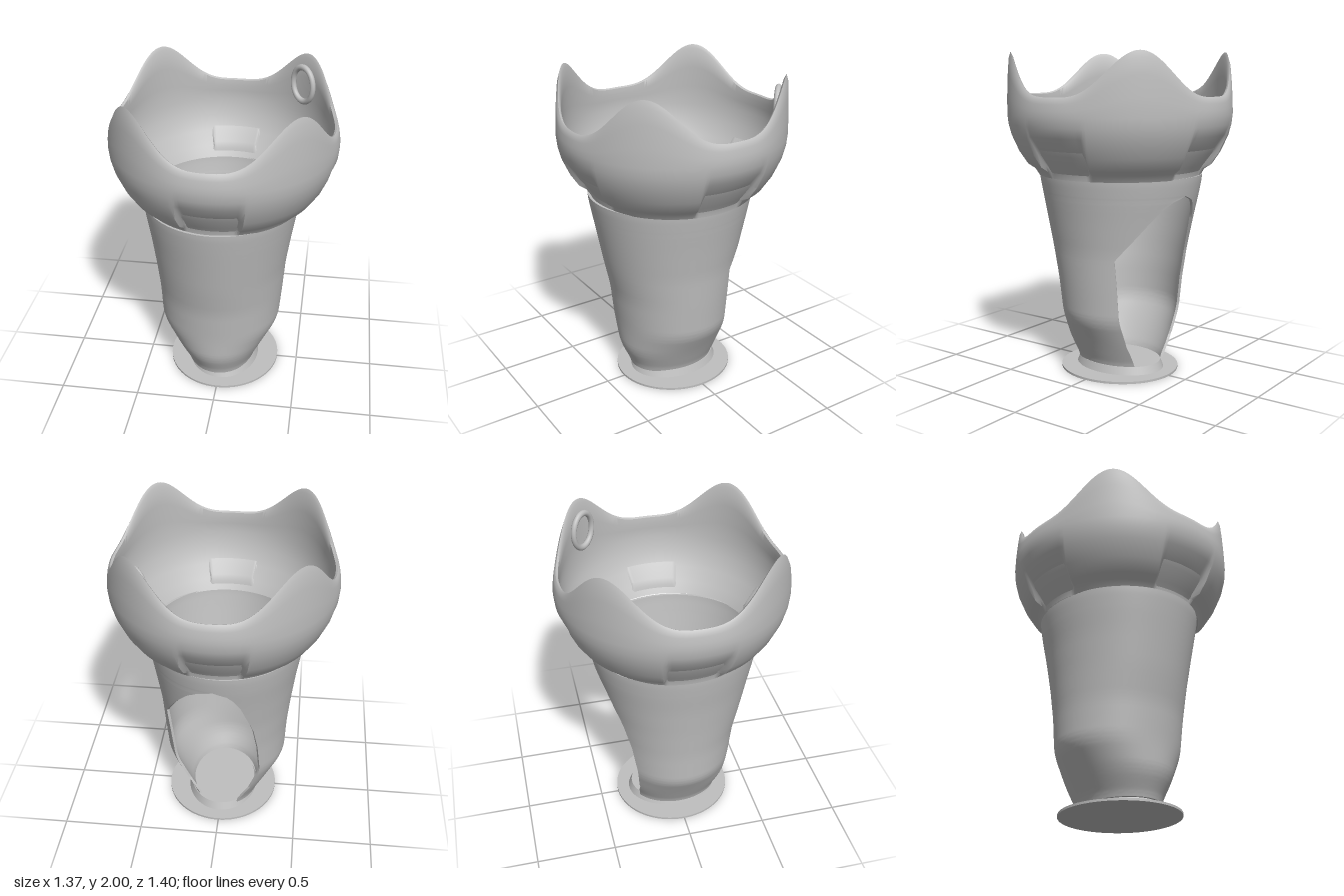
import * as THREE from 'three';
import { mergeVertices, toCreasedNormals, mergeGeometries } from 'three/addons/utils/BufferGeometryUtils.js';

const { lerp, smoothstep, degToRad } = THREE.MathUtils;

// Regular grid surface from a point function f(u, v) -> [x, y, z]
function sheet(f, nu, nv) {
  const pos = [], idx = [];
  for (let j = 0; j <= nv; j++)
    for (let i = 0; i <= nu; i++) pos.push(...f(i / nu, j / nv));
  for (let j = 0; j < nv; j++)
    for (let i = 0; i < nu; i++) {
      const a = j * (nu + 1) + i, b = a + nu + 1;
      idx.push(a, b, a + 1, a + 1, b, b + 1);
    }
  const g = new THREE.BufferGeometry();
  g.setAttribute('position', new THREE.Float32BufferAttribute(pos, 3));
  g.setIndex(idx);
  return g;
}

const finish = (g, crease) => toCreasedNormals(mergeVertices(g, 1e-4), crease);

// Piecewise linear lookup in rows [y, a, b, ...]
function lookup(rows, y) {
  let k = 0;
  while (k < rows.length - 2 && y > rows[k + 1][0]) k++;
  const p = rows[k], q = rows[k + 1];
  const t = THREE.MathUtils.clamp((y - p[0]) / (q[0] - p[0]), 0, 1);
  return p.map((v, i) => lerp(v, q[i], t));
}

// Rounds the corners of a table by averaging nearby heights
function softLookup(rows, y) {
  const out = rows[0].map(() => 0);
  for (let k = -3; k <= 3; k++) lookup(rows, y + k * 0.015).forEach((v, i) => { out[i] += v / 7; });
  return out;
}

// Body sections: y, right extent, left extent, front extent, back extent
const SECTIONS = [
  [0.05, 0.205, 0.23, 0.285, 0.28],
  [0.20, 0.275, 0.31, 0.355, 0.34],
  [0.37, 0.365, 0.405, 0.368, 0.365],
  [0.60, 0.385, 0.415, 0.395, 0.39],
  [0.80, 0.400, 0.435, 0.440, 0.42],
  [1.00, 0.430, 0.460, 0.480, 0.465],
  [1.15, 0.455, 0.485, 0.510, 0.50],
  [1.26, 0.472, 0.500, 0.530, 0.52],
];

// Edges of the back opening: y, start and end angle of the wall in degrees
const OPENING = [
  [0.05, -49, 243], [0.20, -38, 232], [0.40, -34.6, 231.6], [0.60, -32.6, 235],
  [0.77, -30, 241], [0.90, -45, 248], [1.00, -56, 253], [1.08, -66, 259],
  [1.12, -74, 264], [1.15, -86, 274], [1.27, -86, 274],
];

function wallPoint(u, v, inset) {
  const y = lerp(0.05, 1.26, v);
  const [, right, left, front, back] = softLookup(SECTIONS, y);
  const [, a0, a1] = lookup(OPENING, y);
  const a = degToRad(lerp(a0, a1, u)), c = Math.cos(a), s = Math.sin(a);
  const x0 = (right - left) / 2, rx = (right + left) / 2;
  return [x0 + c * (rx - inset), y, s * ((s > 0 ? front : back) - inset)];
}

function bodyGeometry() {
  const T = 0.016, nu = 80, nv = 121;
  const outer = (u, v) => wallPoint(u, v, 0), inner = (u, v) => wallPoint(u, v, T);
  const between = (u, v, t) => outer(u, v).map((p, i) => lerp(p, inner(u, v)[i], t));
  const last = 110 / 121; // the side edges end where the opening closes
  return finish(mergeGeometries([
    sheet(outer, nu, nv),
    sheet((u, v) => inner(1 - u, v), nu, nv),
    sheet((u, t) => between(u, 1, t), nu, 1),
    sheet((u, t) => between(u, 0, 1 - t), nu, 1),
    sheet((t, v) => between(0, v * last, 1 - t), 1, 110),
    sheet((t, v) => between(1, v * last, t), 1, 110),
  ]), 0.6);
}

// Rim of the collar: four peaks on the diagonals
const rimHeight = (a) => 1.74 + 0.26 * Math.pow((1 - Math.cos(4 * a)) / 2, 1.8);

// Closed wall profile of the collar at one angle, as [radius, y]
function collarProfile(a) {
  const quarter = Math.PI / 2;
  const off = Math.abs(a - Math.round(a / quarter) * quarter);
  const pad = 1 - smoothstep(off, 0.27, 0.31); // recess under each side
  const h = rimHeight(a), mix = (p, q) => [lerp(p[0], q[0], pad), lerp(p[1], q[1], pad)];
  const up = (r, t) => [r, lerp(1.63, h, t)];
  return [
    [0.505, 1.255],
    mix([0.53, 1.295], [0.515, 1.31]),
    mix([0.575, 1.325], [0.535, 1.345]),
    mix([0.625, 1.40], [0.60, 1.425]),
    mix([0.67, 1.50], [0.663, 1.51]),
    [0.688, 1.57], [0.694, 1.63], up(0.692, 0.3), up(0.686, 0.65), up(0.679, 0.9),
    up(0.668, 1), up(0.656, 0.94), up(0.652, 0.6), up(0.656, 0.25),
    [0.655, 1.60], [0.635, 1.50], [0.59, 1.40], [0.53, 1.32], [0.49, 1.255], [0.505, 1.255],
  ];
}

function collarGeometry() {
  const n = collarProfile(0).length - 1;
  return finish(sheet((u, v) => {
    const a = u * Math.PI * 2;
    const [r, y] = collarProfile(a)[Math.round(v * n)];
    return [r * 0.99 * Math.cos(a), y, r * 1.008 * Math.sin(a)];
  }, 240, n), 0.9);
}

export function createModel() {
  const model = new THREE.Group();
  const grey = new THREE.MeshStandardMaterial({ color: 0xbfbfbf, side: THREE.DoubleSide });
  grey.name = 'grey';
  const add = (name, geometry) => {
    const mesh = new THREE.Mesh(geometry, grey);
    mesh.name = name;
    model.add(mesh);
    return mesh;
  };

  // Thin round foot
  const foot = add('footPlate', new THREE.CylinderGeometry(1, 1, 0.014, 96));
  foot.scale.set(0.362, 1, 0.38);
  foot.position.set(0.006, 0.007, -0.004);

  // Oval pedestal closing the bottom of the body
  const pedestal = add('pedestal', new THREE.CylinderGeometry(0.93, 1, 0.048, 96));
  pedestal.scale.set(0.23, 1, 0.298);
  pedestal.position.set(0.004, 0.038, -0.006);

  // Tapered shell with the arched opening at the back
  add('body', bodyGeometry());

  // Bulging collar with the scalloped rim
  add('collar', collarGeometry());

  // Oval loop on the inside of the collar
  const loop = add('innerLoop', new THREE.TorusGeometry(0.1, 0.018, 12, 48));
  loop.scale.set(0.9, 1.1, 1);
  loop.position.set(0.433, 1.81, -0.452);
  loop.rotation.y = -Math.PI / 4;

  return model;
}
